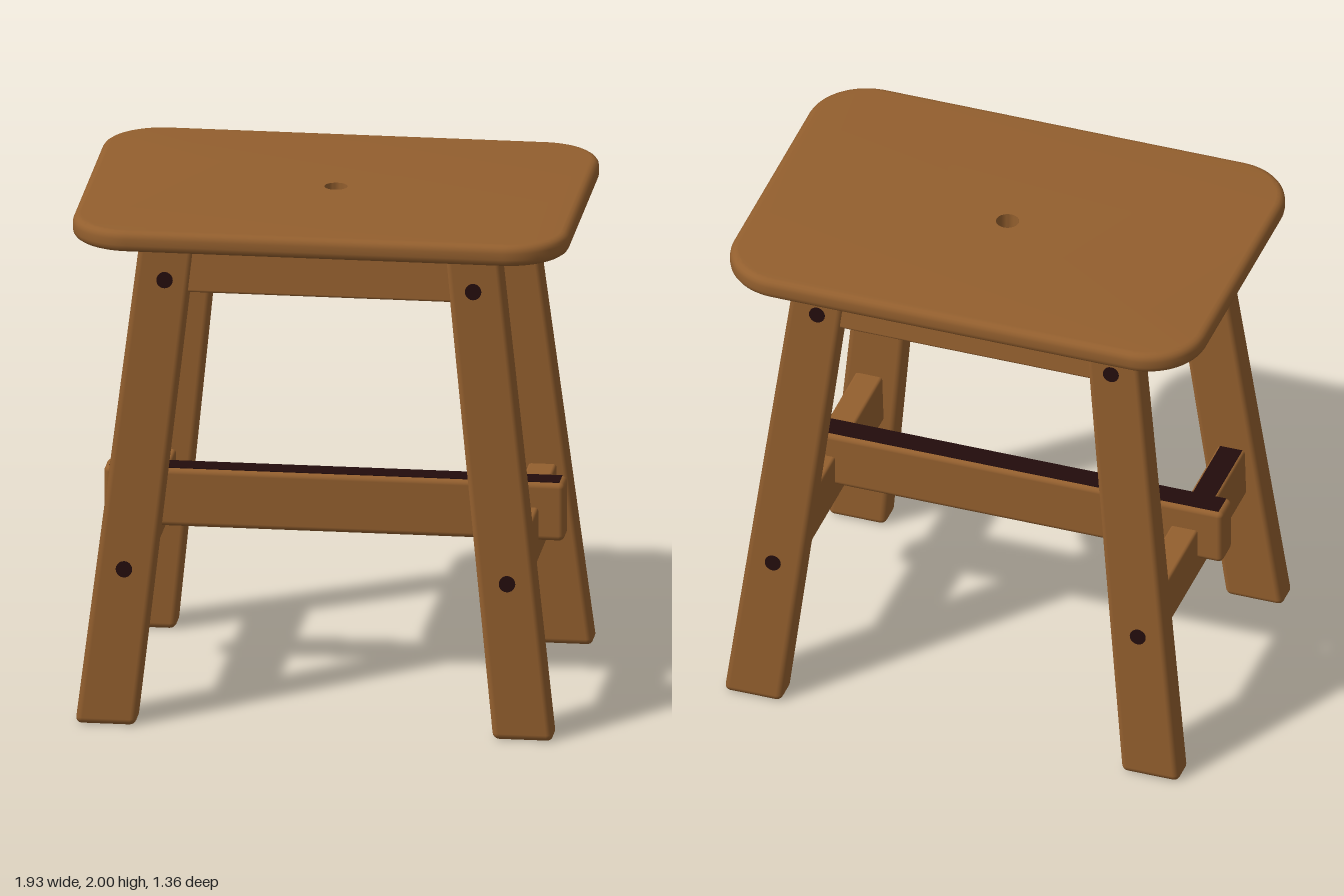
import * as THREE from 'three';
import { toCreasedNormals } from 'three/addons/utils/BufferGeometryUtils.js';
import { RoundedBoxGeometry } from 'three/addons/geometries/RoundedBoxGeometry.js';

const wood = new THREE.MeshStandardMaterial({ color: 0x935f2e });
wood.name = 'wood';
const dark = new THREE.MeshStandardMaterial({ color: 0x220c0c });
dark.name = 'darkBrown';

const H = 1.92; // leg height, up to the underside of the seat
const lerp = THREE.MathUtils.lerp;
const legX = (y) => lerp(0.812, 0.593, y / H);
const legZ = (y) => lerp(0.615, 0.453, y / H);

function add(group, name, geometry, material, x = 0, y = 0, z = 0) {
  const mesh = new THREE.Mesh(geometry, material);
  mesh.name = name;
  mesh.position.set(x, y, z);
  group.add(mesh);
  return mesh;
}

// Rounded slab with a round hole straight through the middle
function seatGeometry() {
  const w = 0.965, d = 0.68, r = 0.235, b = 0.03;
  const s = new THREE.Shape();
  s.absarc(w - r, d - r, r, 0, Math.PI / 2);
  s.absarc(r - w, d - r, r, Math.PI / 2, Math.PI);
  s.absarc(r - w, r - d, r, Math.PI, Math.PI * 1.5);
  s.absarc(w - r, r - d, r, Math.PI * 1.5, Math.PI * 2);
  s.holes.push(new THREE.Path().absarc(0, 0, 0.045, 0, Math.PI * 2, true));
  const g = new THREE.ExtrudeGeometry(s, {
    depth: 0.085 - 2 * b, bevelThickness: b, bevelSize: b, bevelOffset: -b, bevelSegments: 4, curveSegments: 14,
  });
  // Straighten the bevelled hole into a plain cylinder
  const p = g.attributes.position;
  for (let i = 0; i < p.count; i++) {
    const k = Math.hypot(p.getX(i), p.getY(i));
    if (k < 0.2) p.setXY(i, p.getX(i) * 0.045 / k, p.getY(i) * 0.045 / k);
  }
  g.translate(0, 0, b).rotateX(-Math.PI / 2);
  g.deleteAttribute('normal');
  g.deleteAttribute('uv');
  return toCreasedNormals(g, 0.6);
}

// Splayed leg, slightly slimmer at the top
function legGeometry(sx, sz) {
  const g = new RoundedBoxGeometry(0.235, H, 0.12, 3, 0.025);
  const p = g.attributes.position;
  for (let i = 0; i < p.count; i++) {
    const y = p.getY(i) + H / 2, t = y / H;
    p.setXYZ(i, p.getX(i) * lerp(1, 0.91, t) + sx * legX(y), y,
      p.getZ(i) * lerp(1, 0.85, t) + sz * legZ(y));
  }
  return g;
}

export function createModel() {
  const model = new THREE.Group();
  model.name = 'stool';
  add(model, 'seat', seatGeometry(), wood, 0, 1.915, -0.005);

  // Legs with dark pegs on their outer faces
  for (const sx of [1, -1]) for (const sz of [1, -1]) {
    const name = (sz > 0 ? 'front' : 'back') + (sx > 0 ? 'Left' : 'Right');
    add(model, name + 'Leg', legGeometry(sx, sz), wood);
    for (const [y, x] of [[1.762, 0.6], [0.617, 0.745]]) {
      const z = legZ(y) + 0.06 * lerp(1, 0.85, y / H);
      const peg = add(model, name + 'Peg', new THREE.CylinderGeometry(0.032, 0.032, 0.008, 20),
        dark, sx * x, y, sz * z);
      peg.rotation.x = sz * (Math.PI / 2 - 0.089);
    }
  }

  // Aprons under the seat, leaning with the legs
  for (const s of [1, -1]) {
    const long = add(model, s > 0 ? 'frontApron' : 'backApron',
      new RoundedBoxGeometry(1.18, 0.215, 0.08, 2, 0.01), wood, 0, 1.817, s * legZ(1.817));
    long.rotation.x = -s * 0.084;
    const side = add(model, s > 0 ? 'leftApron' : 'rightApron',
      new RoundedBoxGeometry(0.1, 0.195, 0.9, 2, 0.01), wood, s * legX(1.827), 1.827, 0);
    side.rotation.z = s * 0.114;
    // Lower side rails
    add(model, s > 0 ? 'leftRail' : 'rightRail',
      new RoundedBoxGeometry(0.11, 0.215, 1.1, 2, 0.012), wood, s * 0.74, 0.6425, 0);
  }

  // Long stretcher lapped over the side rails, with dark upper faces
  add(model, 'stretcher', new RoundedBoxGeometry(1.79, 0.235, 0.12, 3, 0.022), wood, 0, 0.7325, 0);
  add(model, 'stretcherTop', new THREE.BoxGeometry(1.75, 0.004, 0.09), dark, 0, 0.85, 0);
  add(model, 'rightRailTop', new THREE.BoxGeometry(0.09, 0.004, 0.45), dark, -0.74, 0.75, 0.28);
  return model;
}
